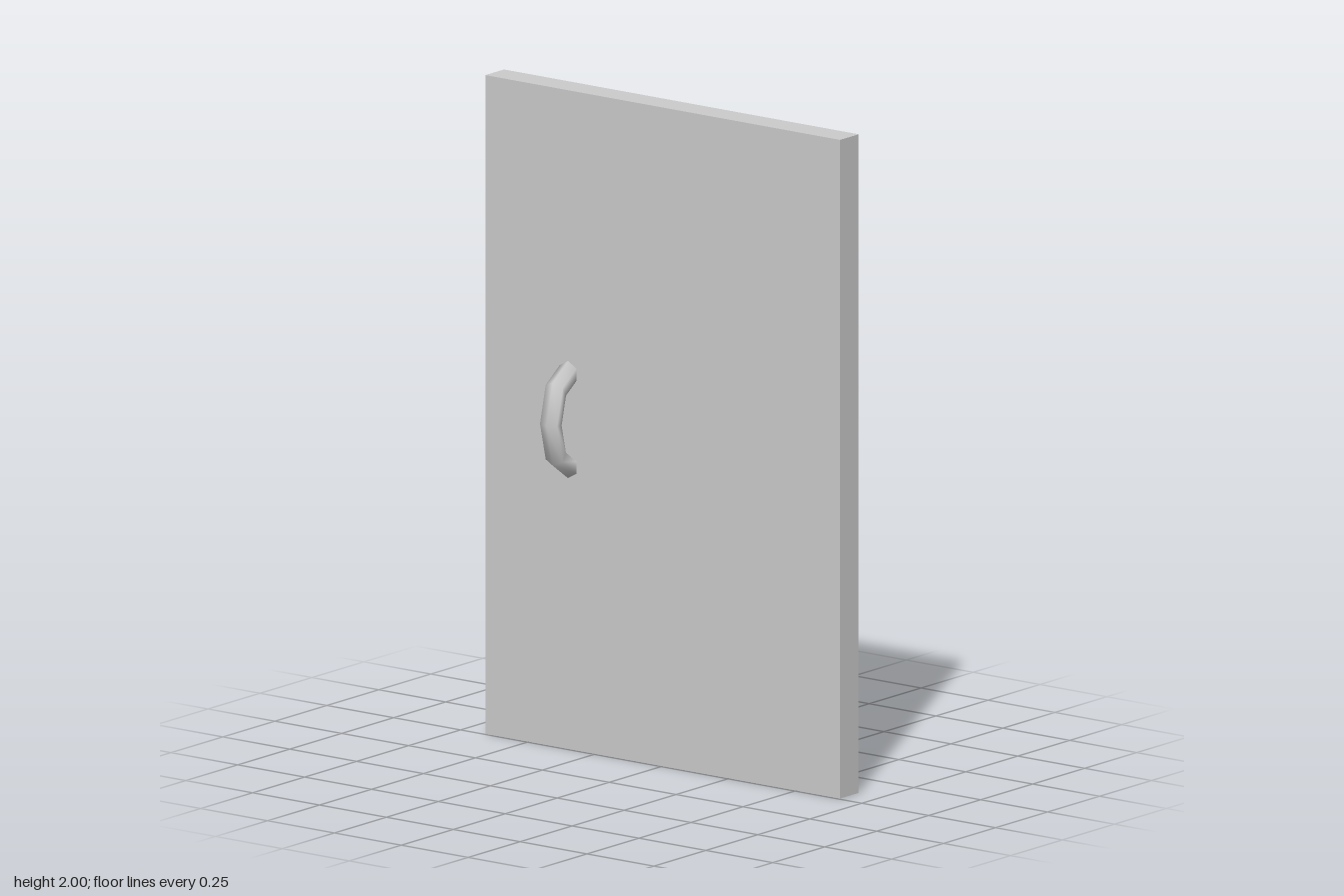
import * as THREE from 'three';

export function createModel() {
  const group = new THREE.Group();
  const material = new THREE.MeshStandardMaterial({ color: 0xcccccc });
  const frontZ = -0.007;
  const thickness = 0.09;

  // Flat door slab
  const panel = new THREE.Mesh(new THREE.BoxGeometry(1.326, 2, thickness), material);
  panel.name = 'doorPanel';
  panel.position.set(0, 1, frontZ - thickness / 2);
  group.add(panel);

  // Half-ring pull handle: six-sided bar in four segments, flattened towards the door
  const ring = new THREE.TorusGeometry(0.141, 0.037, 6, 4, Math.PI);
  ring.rotateZ(-Math.PI / 2);
  ring.rotateY(-Math.PI / 2);
  ring.scale(1, 1, 0.585);
  const handle = new THREE.Mesh(ring, material);
  handle.name = 'handle';
  handle.position.set(-0.354, 1, frontZ);
  group.add(handle);

  return group;
}
